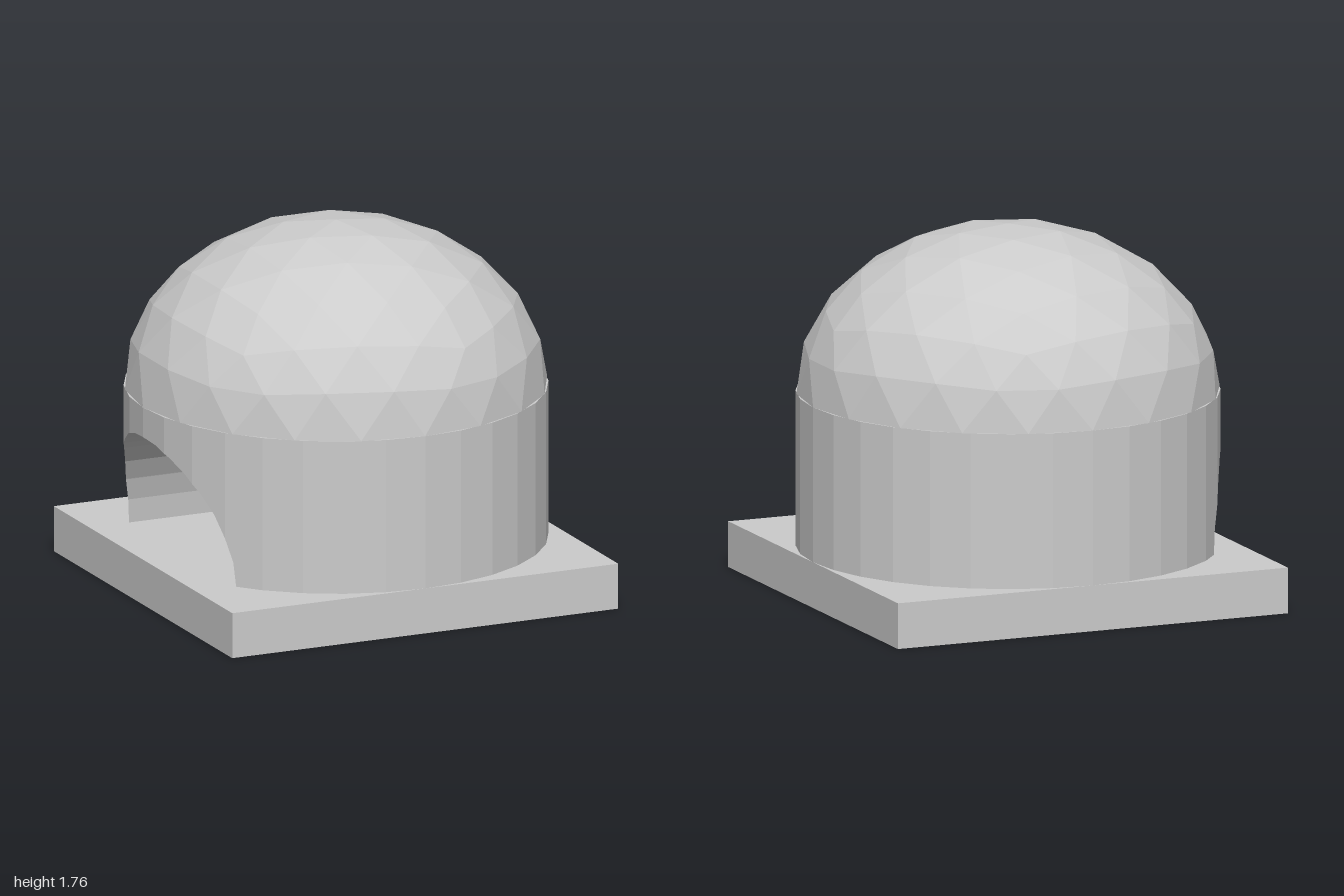
import * as THREE from 'three';

const FLOOR = 0.22, WALL_TOP = 0.965, DOME_HEIGHT = 0.8;
const SIDES = 32, ARCH_RADIUS = 0.6, TUNNEL_END = 0;

const material = new THREE.MeshStandardMaterial({ color: 0xcccccc, flatShading: true });

function addMesh(group, name, geometry) {
  const mesh = new THREE.Mesh(geometry, material);
  mesh.name = name;
  group.add(mesh);
  return mesh;
}

// Flat-shaded geometry from a list of four-cornered faces
function fromQuads(quads) {
  const positions = quads.flatMap(([a, b, c, d]) => [a, b, c, a, c, d].flat());
  const geometry = new THREE.BufferGeometry();
  geometry.setAttribute('position', new THREE.Float32BufferAttribute(positions, 3));
  geometry.computeVertexNormals();
  return geometry;
}

// x of the many-sided wall on the doorway (-x) side at a given z
function wallX(z) {
  const step = (2 * Math.PI) / SIDES;
  const a = Math.floor(Math.asin(z) / step) * step;
  const t = (z - Math.sin(a)) / (Math.sin(a + step) - Math.sin(a));
  return -THREE.MathUtils.lerp(Math.cos(a), Math.cos(a + step), t);
}

// Columns across the doorway: arch corners plus the wall's own corners
function doorColumns() {
  const zs = [];
  for (let k = 0; k <= 16; k++) zs.push(-ARCH_RADIUS * Math.cos((k * Math.PI) / 16));
  for (let k = -3; k <= 3; k++) if (k) zs.push(Math.sin((k * 2 * Math.PI) / SIDES));
  return zs.sort((a, b) => a - b).map((z) => ({
    x: wallX(z),
    z,
    y: FLOOR + Math.sqrt(Math.max(0, ARCH_RADIUS ** 2 - z * z)),
  }));
}

// Upper half of a subdivided icosahedron, squashed in height
function domeGeometry() {
  const ball = new THREE.IcosahedronGeometry(1, 3);
  ball.rotateZ(-Math.atan(2 / (1 + Math.sqrt(5)))); // a corner points straight up
  const p = ball.attributes.position;
  const kept = [];
  for (let i = 0; i < p.count; i += 3) {
    if (p.getY(i) + p.getY(i + 1) + p.getY(i + 2) < 0) continue;
    for (let j = i; j < i + 3; j++) kept.push(p.getX(j), p.getY(j) * DOME_HEIGHT, p.getZ(j));
  }
  const geometry = new THREE.BufferGeometry();
  geometry.setAttribute('position', new THREE.Float32BufferAttribute(kept, 3));
  geometry.computeVertexNormals();
  return geometry;
}

export function createModel() {
  const group = new THREE.Group();
  group.name = 'domedBuilding';

  // Square base
  addMesh(group, 'basePlate', new THREE.BoxGeometry(2, FLOOR, 2)).position.y = FLOOR / 2;

  // Round wall, its lower edge lifted over the doorway
  const door = doorColumns();
  const outline = [...door];
  for (let k = 4; k <= SIDES - 4; k++) {
    const a = (k * 2 * Math.PI) / SIDES;
    outline.push({ x: -Math.cos(a), z: Math.sin(a), y: FLOOR });
  }
  addMesh(group, 'roundWall', fromQuads(outline.map((p, i) => {
    const n = outline[(i + 1) % outline.length];
    return [[p.x, p.y, p.z], [n.x, n.y, n.z], [n.x, WALL_TOP, n.z], [p.x, WALL_TOP, p.z]];
  })));

  // Arched tunnel behind the doorway and the wall that closes it
  const vault = [], endWall = [];
  for (let i = 0; i < door.length - 1; i++) {
    const p = door[i], n = door[i + 1], e = TUNNEL_END;
    vault.push([[e, p.y, p.z], [e, n.y, n.z], [n.x, n.y, n.z], [p.x, p.y, p.z]]);
    endWall.push([[e, FLOOR, p.z], [e, FLOOR, n.z], [e, n.y, n.z], [e, p.y, p.z]]);
  }
  addMesh(group, 'doorwayVault', fromQuads(vault));
  addMesh(group, 'doorwayEndWall', fromQuads(endWall));

  // Top of the wall, and the dome standing on it
  const cap = addMesh(group, 'wallTop', new THREE.CircleGeometry(1, SIDES).rotateX(-Math.PI / 2));
  cap.position.y = WALL_TOP;
  addMesh(group, 'dome', domeGeometry()).position.y = WALL_TOP;

  return group;
}
